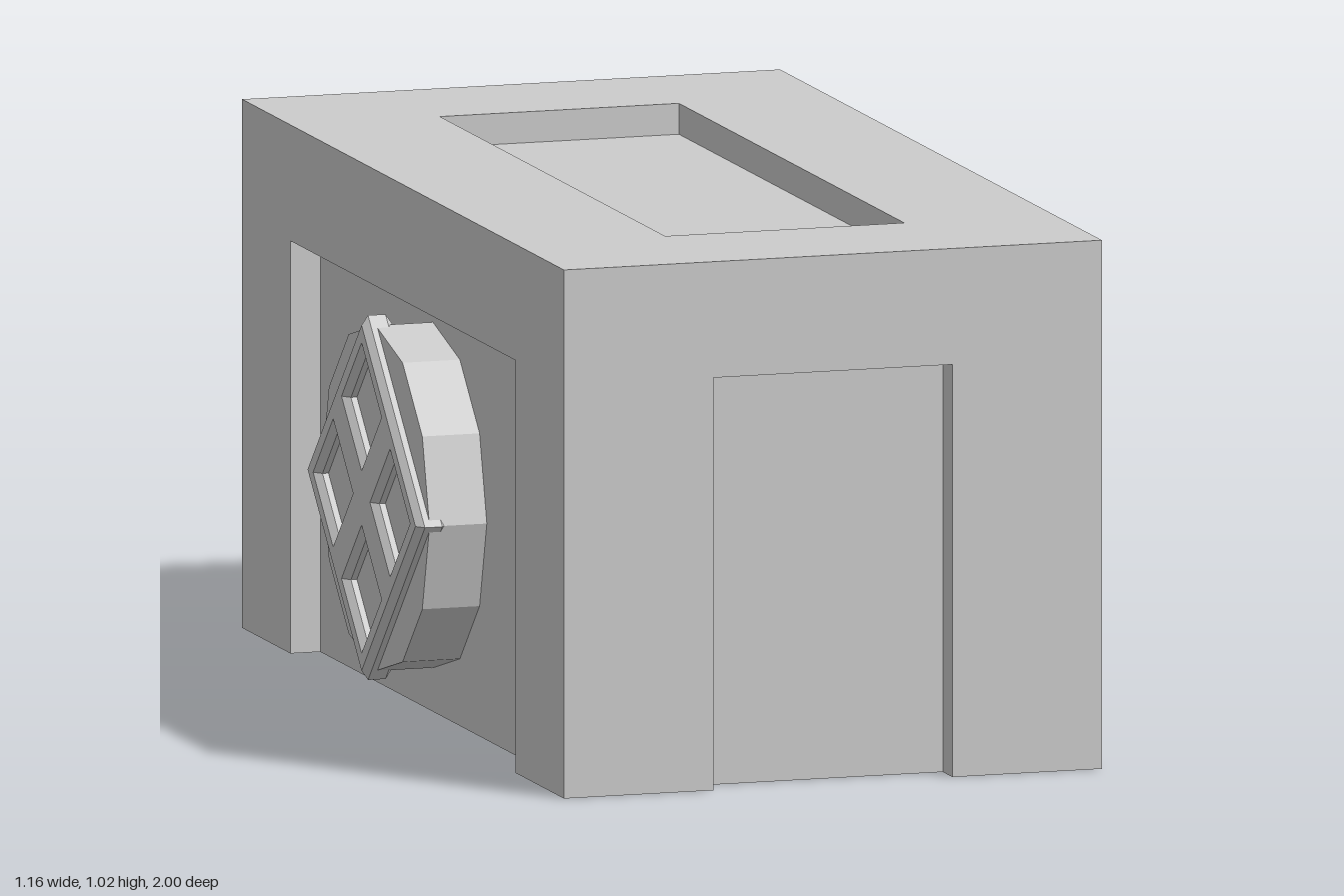
import * as THREE from 'three';
import { mergeGeometries } from 'three/addons/utils/BufferGeometryUtils.js';

const W = 1.08, H = 1.025, L = 2, DEPTH = 0.06;
const material = new THREE.MeshStandardMaterial({ color: 0xcccccc, flatShading: true });

function mesh(name, geometry) {
  const m = new THREE.Mesh(geometry, material);
  m.name = name;
  return m;
}

const polygon = (points) => new THREE.Shape(points.map(([x, y]) => new THREE.Vector2(x, y)));
const rectangle = (x0, y0, x1, y1) => [[x0, y0], [x1, y0], [x1, y1], [x0, y1]];

// A wall facing +z with a sunken panel; an open panel runs out through the lower edge.
function sunkenWall(w, h, panelW, y0, y1, open) {
  const a = w / 2, p = panelW / 2, ph = y1 - y0, yc = (y0 + y1) / 2;
  let frame;
  if (open) {
    frame = polygon([[-a, 0], [-p, 0], [-p, y1], [p, y1], [p, 0], [a, 0], [a, h], [-a, h]]);
  } else {
    frame = polygon(rectangle(-a, 0, a, h));
    frame.holes.push(polygon(rectangle(-p, y0, p, y1)));
  }
  const plane = (pw, plh) => new THREE.PlaneGeometry(pw, plh);
  const parts = [
    new THREE.ShapeGeometry(frame),
    plane(panelW, ph).translate(0, yc, -DEPTH),
    plane(DEPTH, ph).rotateY(Math.PI / 2).translate(-p, yc, -DEPTH / 2),
    plane(DEPTH, ph).rotateY(-Math.PI / 2).translate(p, yc, -DEPTH / 2),
    plane(panelW, DEPTH).rotateX(Math.PI / 2).translate(0, y1, -DEPTH / 2),
  ];
  if (!open) parts.push(plane(panelW, DEPTH).rotateX(-Math.PI / 2).translate(0, y0, -DEPTH / 2));
  return mergeGeometries(parts);
}

// Underside outline, notched where the side panels run out
function undersideShape() {
  const a = W / 2, b = L / 2, p = 0.24, q = 0.7, d = DEPTH;
  return polygon([
    [-a, -b], [-p, -b], [-p, -b + d], [p, -b + d], [p, -b], [a, -b],
    [a, -q], [a - d, -q], [a - d, q], [a, q], [a, b],
    [p, b], [p, b - d], [-p, b - d], [-p, b], [-a, b],
    [-a, q], [-a + d, q], [-a + d, -q], [-a, -q],
  ]);
}

// Square lattice with four openings, stood on its corner and facing -x
function latticeGeometry() {
  const s = 0.25, bar = 0.05;
  const shape = polygon(rectangle(-s, -s, s, s));
  for (const i of [-1, 1]) for (const j of [-1, 1]) {
    const cx = i * s / 2, cy = j * s / 2, r = s / 2 - bar;
    shape.holes.push(polygon(rectangle(cx - r, cy - r, cx + r, cy + r)));
  }
  return new THREE.ExtrudeGeometry(shape, {
    depth: 0.035, bevelThickness: 0.013, bevelSize: 0.013, bevelOffset: -0.013, bevelSegments: 1,
  }).rotateZ(Math.PI / 4).rotateY(-Math.PI / 2);
}

export function createModel() {
  const model = new THREE.Group();
  model.name = 'block';

  // Main body: four walls, top and underside
  const body = new THREE.Group();
  body.name = 'body';
  body.position.x = 0.04;
  for (const side of [1, -1]) {
    const end = mesh(side > 0 ? 'frontWall' : 'backWall', sunkenWall(W, H, 0.48, 0, 0.8, true));
    end.rotation.y = side > 0 ? 0 : Math.PI;
    end.position.z = side * L / 2;
    const flank = mesh(side > 0 ? 'leftWall' : 'rightWall', sunkenWall(L, H, 1.4, 0, 0.8, true));
    flank.rotation.y = side * Math.PI / 2;
    flank.position.x = side * W / 2;
    body.add(end, flank);
  }
  const top = mesh('top', sunkenWall(W, L, 0.48, 0.3, 1.7, false));
  top.rotation.x = -Math.PI / 2;
  top.position.set(0, H, L / 2);
  const underside = mesh('underside', new THREE.ShapeGeometry(undersideShape()).rotateX(Math.PI / 2));
  body.add(top, underside);

  // Round boss with a raised lattice on the right wall
  const boss = new THREE.Group();
  boss.name = 'boss';
  boss.position.set(0, 0.42, 0);
  const disc = mesh('bossDisc', new THREE.CylinderGeometry(0.335, 0.335, 0.115, 12).rotateZ(Math.PI / 2));
  disc.position.x = -0.4975;
  const lattice = mesh('bossLattice', latticeGeometry());
  lattice.position.set(-0.532, 0, -0.01);
  boss.add(disc, lattice);

  model.add(body, boss);
  return model;
}
